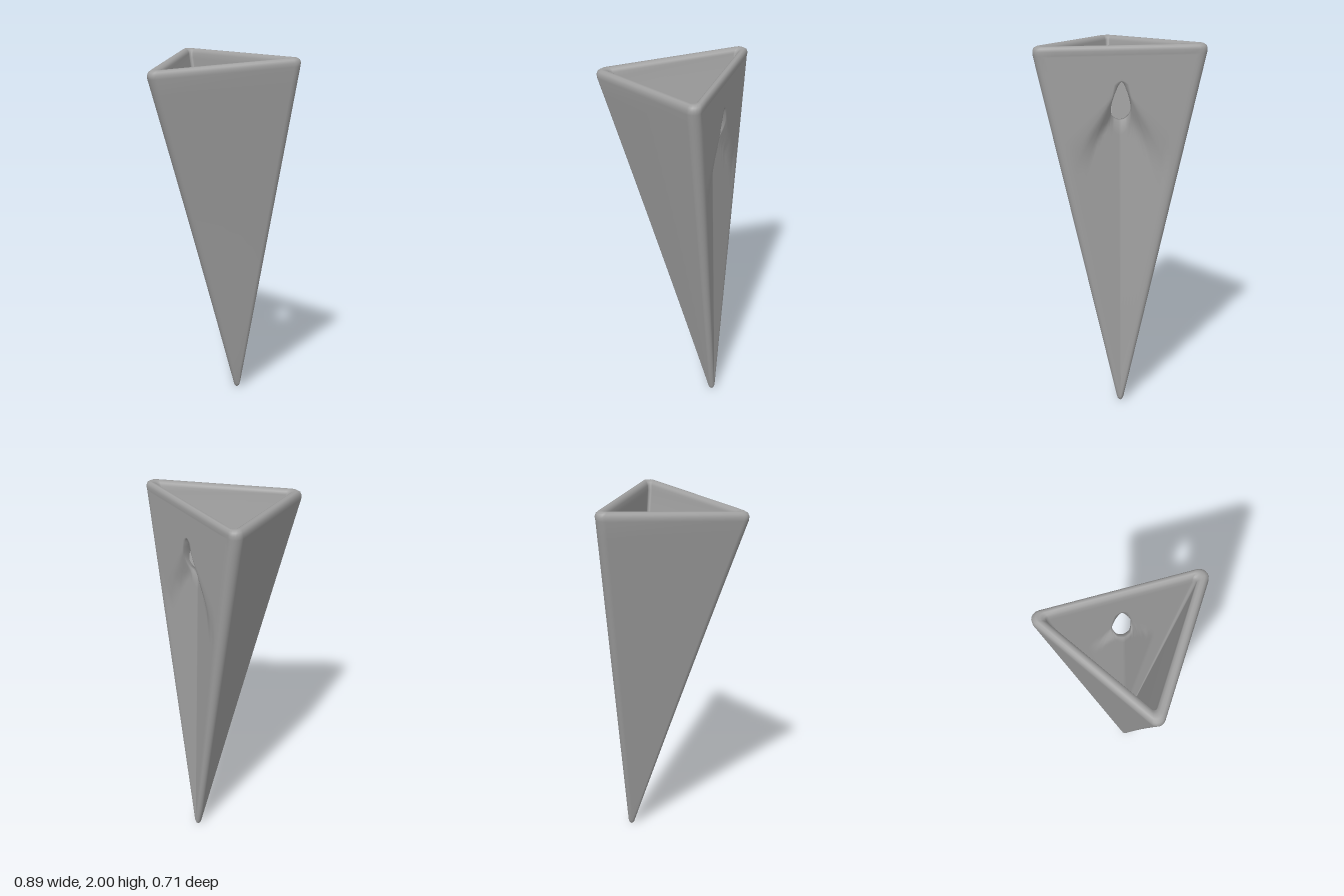
import * as THREE from 'three';
import { mergeGeometries, mergeVertices } from 'three/addons/utils/BufferGeometryUtils.js';

const ROWS = 24, TOP = 12, ARC = 6;
const lerp = THREE.MathUtils.lerp;

// Surface through rows of points
function loft(rows, closed) {
  const n = rows[0].length, index = [];
  for (let i = 0; i < rows.length - 1; i++) {
    for (let j = 0; j < (closed ? n : n - 1); j++) {
      const k = (j + 1) % n;
      const a = i * n + j, b = i * n + k, c = a + n, d = b + n;
      index.push(a, c, b, b, c, d);
    }
  }
  const g = new THREE.BufferGeometry();
  g.setAttribute('position', new THREE.Float32BufferAttribute(rows.flat(2), 3));
  g.setIndex(index);
  return g;
}

// Rounded triangular cross-section; the closed one also runs along the back
function section({ y, W, zb, zf, r }, closed) {
  const cx = W - r, depth = zf - zb - 2 * r;
  const side = cx < 1e-4 ? 0 : Math.atan2(cx, depth);
  const pts = [];
  const arc = (x, z, from, to) => {
    for (let i = 0; i <= ARC; i++) {
      const a = lerp(from, to, i / ARC);
      const pz = z + r * Math.sin(a);
      pts.push([x + r * Math.cos(a), y - 0.055 * Math.max(0, pz + 0.3) / 0.65 * y / 2, pz]);
    }
  };
  arc(cx, zb + r, -Math.PI / 2, side);
  arc(0, zf - r, side, Math.PI - side);
  arc(-cx, zb + r, Math.PI - side, Math.PI * 1.5);
  if (closed) for (let i = 1; i < TOP; i++) pts.push([lerp(-cx, cx, i / TOP), y, zb]);
  return pts;
}

// Outer taper, with a rounded tip
function outerRow(i) {
  if (i === 0) return { y: 0, W: 0.004, r: 0.004, zb: -0.326, zf: -0.318 };
  if (i === 1) return { y: 0.008, W: 0.013, r: 0.013, zb: -0.335, zf: -0.309 };
  const t = (i - 2) / (ROWS - 3);
  return { y: lerp(0.025, 1.955, t), W: lerp(0.019, 0.446, t), r: lerp(0.019, 0.042, t),
    zb: lerp(-0.341, -0.348, t), zf: lerp(-0.303, 0.355, t) };
}

// Cavity taper
function innerRow(i) {
  const t = i / (ROWS - 1);
  return { y: lerp(0.3, 1.95, t), W: lerp(0.001, 0.375, t), r: lerp(0.001, 0.014, t),
    zb: -0.305, zf: lerp(-0.303, 0.275, t) };
}

// Outline of a back panel: up the left edge, across the top, down the right edge
function outline(rows) {
  const up = rows.map(({ y, W, r, zb }) => [W - r, y, zb]);
  const [e, y, z] = up[up.length - 1];
  const top = [];
  for (let i = 1; i < TOP; i++) top.push([lerp(e, -e, i / TOP), y, z]);
  return [...up, ...top, ...up.map(([px, py, pz]) => [-px, py, pz]).reverse()];
}

// Shallow V-shaped recess below the hanging hole
function dent(x, y) {
  const ax = Math.abs(x), e = Math.max(0.205 * y, 0.002);
  const groove = 0.04 * y * (0.94 - ax / e);
  const roof = (1.82 - 1.8 * ax - y) * 0.4;
  return Math.max(0, Math.min(groove, roof));
}
const backZ = (x, y) => -0.341 - 0.007 * y / 1.955 + dent(x, y);

// Rings from a panel outline to the teardrop hanging hole
function panel(edge, surface) {
  const rings = [], steps = 20, n = edge.length;
  for (let s = 0; s <= steps; s++) {
    rings.push(edge.map(([x, y, z], j) => {
      if (s === 0) return [x, y, z];
      const a = (j / (n - 1)) * Math.PI * 2;
      const hx = 0.07 * Math.sin(a) * (0.68 + 0.32 * Math.cos(a));
      const hy = 1.71 - 0.105 * Math.cos(a);
      const px = lerp(x, hx, s / steps), py = lerp(y, hy, s / steps);
      return [px, py, surface(px, py)];
    }));
  }
  return rings;
}

export function createModel() {
  const grey = new THREE.MeshStandardMaterial({ color: 0xa0a0a0 });
  grey.name = 'plain grey';

  const outer = Array.from({ length: ROWS }, (_, i) => outerRow(i));
  const inner = Array.from({ length: ROWS }, (_, i) => innerRow(i));

  // Rounded rim between the two shells
  const rim = [
    outer[ROWS - 1],
    { y: 1.975, W: 0.447, r: 0.042, zb: -0.351, zf: 0.357 },
    { y: 1.991, W: 0.441, r: 0.04, zb: -0.347, zf: 0.35 },
    { y: 2.0, W: 0.425, r: 0.034, zb: -0.337, zf: 0.333 },
    { y: 2.0, W: 0.405, r: 0.026, zb: -0.324, zf: 0.308 },
    { y: 1.99, W: 0.386, r: 0.018, zb: -0.312, zf: 0.286 },
    { y: 1.975, W: 0.378, r: 0.015, zb: -0.306, zf: 0.278 },
    inner[ROWS - 1],
  ];

  // Back wall: outside face, hole edge and inside face in one surface
  const outside = panel(outline(outer), backZ);
  const inside = panel(outline(inner), (x, y) => Math.max(-0.305, backZ(x, y) + 0.02));

  const parts = [
    loft(outer.map((r) => section(r, false)), false),
    loft(rim.map((r) => section(r, true)), true),
    loft([...inner].reverse().map((r) => section(r, false)), false),
    loft([...outside, ...inside.reverse()], true),
  ];
  const geometry = mergeVertices(mergeGeometries(parts), 1e-4);
  geometry.computeVertexNormals();

  const planter = new THREE.Mesh(geometry, grey);
  planter.name = 'wallPlanterShell';
  const group = new THREE.Group();
  group.name = 'wallPlanter';
  group.add(planter);
  return group;
}
